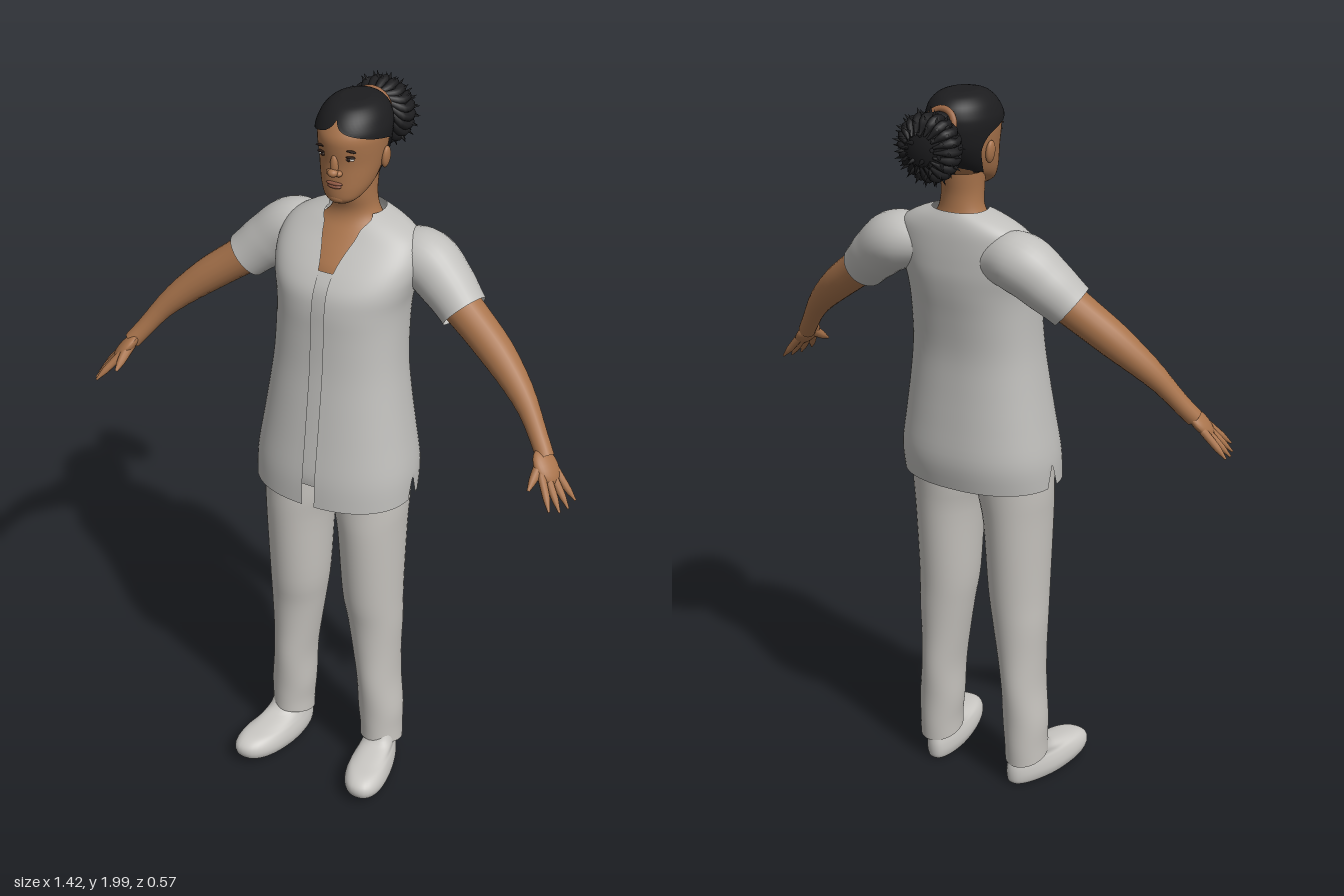
import * as THREE from 'three';
import { mergeVertices, mergeGeometries } from 'three/addons/utils/BufferGeometryUtils.js';

const mat = (name, color, side = THREE.FrontSide) => {
  const m = new THREE.MeshStandardMaterial({ color, side });
  m.name = name;
  return m;
};

// Catmull-Rom smoothing of a list of equally long number rows
function smooth(rows, k) {
  const out = [], at = i => rows[Math.max(0, Math.min(rows.length - 1, i))];
  for (let i = 0; i < rows.length - 1; i++) {
    for (let s = 0; s < k; s++) {
      const t = s / k, [a, b, c, d] = [at(i - 1), at(i), at(i + 1), at(i + 2)];
      out.push(b.map((v, q) => v + 0.5 * t * (c[q] - a[q] + t * (2 * a[q] - 5 * v + 4 * c[q] - d[q]
        + t * (3 * (v - c[q]) + d[q] - a[q])))));
    }
  }
  out.push(rows[rows.length - 1]);
  return out;
}

// Stacked oval rings; row = [y, halfWidth, zFront, zBack, openAngle, xCentre]
function loft(rows, { n = 40, e = 1, caps = false, adjust } = {}) {
  const rings = smooth(rows.map(r => [r[0], r[1], r[2], r[3], r[4] || 0, r[5] || 0]), 4);
  const pos = [], idx = [], p = new THREE.Vector3();
  const pow = v => Math.sign(v) * Math.abs(v) ** e;
  for (const [y, hw, zf, zb, open, cx] of rings) {
    const a0 = Math.max(0, open);
    for (let j = 0; j <= n; j++) {
      const a = a0 + (2 * Math.PI - 2 * a0) * j / n;
      p.set(hw * pow(Math.sin(a)), y, (zf + zb) / 2 + (zf - zb) / 2 * pow(Math.cos(a)));
      if (adjust) adjust(p, a);
      pos.push(p.x + cx, p.y, p.z);
    }
  }
  const w = n + 1;
  for (let i = 0; i < rings.length - 1; i++) for (let j = 0; j < n; j++) {
    const a = i * w + j;
    idx.push(a, a + 1, a + w, a + 1, a + w + 1, a + w);
  }
  if (caps) for (const i of [0, rings.length - 1]) {
    const c = pos.length / 3, [y, , zf, zb, , cx] = rings[i];
    p.set(0, y, (zf + zb) / 2);
    if (adjust) adjust(p, 0);
    pos.push(p.x + cx, p.y, p.z);
    for (let j = 0; j < n; j++) {
      const a = i * w + j;
      i ? idx.push(c, a, a + 1) : idx.push(c, a + 1, a);
    }
  }
  const g = new THREE.BufferGeometry();
  g.setAttribute('position', new THREE.Float32BufferAttribute(pos, 3));
  g.setIndex(idx);
  return weld(g);
}

function weld(g) {
  g.deleteAttribute('uv');
  g.deleteAttribute('normal');
  const m = mergeVertices(g, 1e-5);
  m.computeVertexNormals();
  return m;
}

// Tube whose radius follows a list spread evenly along the path
function limb(points, radii, n = 16, seg = 24) {
  const curve = new THREE.CatmullRomCurve3(points.map(q => new THREE.Vector3(...q)));
  const g = new THREE.TubeGeometry(curve, seg, 1, n), P = g.attributes.position, v = new THREE.Vector3();
  const r = smooth(radii.map(x => [x]), 8), f = r.length - 1;
  for (let i = 0; i <= seg; i++) {
    const c = curve.getPointAt(i / seg), rad = r[Math.round(i / seg * f)][0];
    for (let j = 0; j <= n; j++) {
      const k = i * (n + 1) + j;
      v.fromBufferAttribute(P, k).sub(c).multiplyScalar(rad).add(c);
      P.setXYZ(k, v.x, v.y, v.z);
    }
  }
  return weld(g);
}

const ball = (pos, scale, rotZ = 0) => new THREE.SphereGeometry(1, 20, 14)
  .scale(...scale).rotateZ(rotZ).translate(...pos);

function mirrored(g) {
  const m = g.clone().scale(-1, 1, 1), ix = m.index.array;
  for (let i = 0; i < ix.length; i += 3) [ix[i], ix[i + 1]] = [ix[i + 1], ix[i]];
  if (m.attributes.normal) m.computeVertexNormals();
  return m;
}

export function createModel() {
  const model = new THREE.Group();
  model.name = 'standingWoman';
  const shirt = mat('shirtGrey', 0xc0bfbc, THREE.DoubleSide);
  const trousers = mat('trouserGrey', 0xc6c3be, THREE.DoubleSide);
  const shoe = mat('shoeGrey', 0xcac8c4);
  const skin = mat('skin', 0xa9744c);
  const hair = mat('hairBlack', 0x1d1d1f, THREE.DoubleSide);
  const tieMat = mat('hairTieBrown', 0x9a6644);
  const white = mat('eyeWhite', 0xe2ddd6);
  const dark = mat('eyeDark', 0x2a1b14);
  const lip = mat('lips', 0x8c5540);
  const add = (name, g, m) => {
    const mesh = new THREE.Mesh(g, m);
    mesh.name = name;
    model.add(mesh);
  };
  const pair = (name, g, m) => {
    add(name + 'Left', g, m);
    add(name + 'Right', mirrored(g), m);
  };

  // Open tunic: the last number is the half-width of the front opening
  const e = 0.88;
  const tunic = [[0.922, 0.222, 0.214, -0.118, 0.018], [1.0, 0.222, 0.21, -0.131, 0.018],
    [1.1, 0.207, 0.195, -0.126, 0.018], [1.2, 0.192, 0.18, -0.12, 0.018],
    [1.3, 0.18, 0.166, -0.118, 0.018], [1.4, 0.176, 0.158, -0.13, 0.018],
    [1.47, 0.178, 0.154, -0.142, 0.018], [1.52, 0.188, 0.144, -0.148, 0.018],
    [1.56, 0.196, 0.12, -0.148, 0.019], [1.6, 0.196, 0.085, -0.146, 0.028],
    [1.64, 0.178, 0.045, -0.142, 0.045], [1.67, 0.132, 0.018, -0.135, 0.056],
    [1.692, 0.075, -0.005, -0.125, 0.062]];
  add('tunic', loft(tunic.map(([y, w, f, b, g]) => [y, w, f, b, Math.asin((g / w) ** (1 / e))]), {
    n: 64, e,
    adjust: (p, a) => { if (Math.abs(Math.cos(a)) < 0.06) p.y = Math.max(p.y, 0.99); }, // side slits
  }), shirt);
  add('undershirt', loft([[0.975, 0.21, 0.198, -0.115],
    ...tunic.slice(1, 9).map(([y, w, f, b]) => [y + 0.012, w - 0.012, f - 0.012, b + 0.014])], { e }), shirt);
  pair('sleeve', limb([[0.09, 1.575, -0.07], [0.19, 1.573, -0.074], [0.26, 1.525, -0.06], [0.32, 1.472, -0.04]],
    [0.06, 0.08, 0.074, 0.064], 28), shirt);

  // Neck and chest
  add('neck', loft([[1.48, 0.12, 0.12, -0.1], [1.56, 0.13, 0.098, -0.12], [1.6, 0.125, 0.07, -0.12],
    [1.64, 0.105, 0.032, -0.12], [1.67, 0.075, 0.005, -0.115], [1.7, 0.06, -0.004, -0.11],
    [1.74, 0.056, 0.004, -0.11], [1.79, 0.058, 0.01, -0.12]]), skin);

  // Arms and hands
  pair('arm', limb([[0.2, 1.56, -0.07], [0.32, 1.475, -0.042], [0.44, 1.385, -0.008], [0.53, 1.302, 0.03],
    [0.592, 1.222, 0.068], [0.615, 1.192, 0.085]], [0.05, 0.054, 0.05, 0.046, 0.037, 0.027, 0.024], 18, 32), skin);
  const d = new THREE.Vector3(0.6, -0.72, 0.35).normalize();
  const n = new THREE.Vector3().crossVectors(d, new THREE.Vector3(-0.35, 0.1, 0.9)).normalize();
  const w = new THREE.Vector3().crossVectors(n, d);
  const at = (o, along, across, drop = 0) => new THREE.Vector3(...o)
    .addScaledVector(d, along).addScaledVector(w, across).addScaledVector(n, -drop).toArray();
  const knuckle = [0.648, 1.148, 0.113];
  pair('palm', new THREE.SphereGeometry(1, 20, 14).scale(0.05, 0.037, 0.018)
    .applyMatrix4(new THREE.Matrix4().makeBasis(d, w, n)).translate(0.625, 1.177, 0.1), skin);
  const fingers = [0.066, 0.08, 0.083, 0.074].map((len, i) => {
    const t = (i - 1.5) * 0.019;
    return limb([at(knuckle, -0.025, t * 0.9), at(knuckle, len * 0.4, t * 1.3), at(knuckle, len, t * 1.7)],
      [0.011, 0.0105, 0.009, 0.003], 10, 12);
  });
  pair('fingers', mergeGeometries(fingers), skin);
  pair('thumb', limb([[0.612, 1.19, 0.1], [0.612, 1.165, 0.14], [0.612, 1.142, 0.178]],
    [0.017, 0.014, 0.011, 0.004], 10, 12), skin);

  // Trousers
  pair('trouserLeg', loft([[0.085, 0.058, 0.12, -0.015, 0, 0.143], [0.13, 0.058, 0.12, -0.018, 0, 0.142],
    [0.2, 0.062, 0.122, -0.02, 0, 0.139], [0.3, 0.058, 0.13, -0.028, 0, 0.133],
    [0.4, 0.065, 0.131, -0.03, 0, 0.126], [0.5, 0.075, 0.136, -0.035, 0, 0.12],
    [0.6, 0.082, 0.15, -0.042, 0, 0.113], [0.8, 0.09, 0.165, -0.06, 0, 0.11],
    [0.9, 0.1, 0.166, -0.072, 0, 0.104], [1.05, 0.1, 0.16, -0.09, 0, 0.1]], {
    adjust: p => { p.y += (p.z - 0.05) * 0.28 * Math.max(0, 1 - (p.y - 0.085) / 0.12); }, // tilted hem
  }), trousers);
  add('hips', loft([[0.925, 0.15, 0.11, -0.03], [0.95, 0.198, 0.15, -0.075], [1.08, 0.195, 0.16, -0.1]],
    { caps: true }), trousers);

  // Shoes: wider, raised and turned out towards the toe
  pair('shoe', loft([[0.004, 0.05, 0.262, -0.002, 0, 0.134], [0.012, 0.058, 0.277, -0.01, 0, 0.134],
    [0.03, 0.064, 0.284, -0.013, 0, 0.134], [0.05, 0.063, 0.278, -0.013, 0, 0.134],
    [0.068, 0.058, 0.252, -0.01, 0, 0.134], [0.08, 0.053, 0.2, -0.006, 0, 0.134],
    [0.1, 0.05, 0.13, 0.0, 0, 0.138], [0.13, 0.045, 0.105, 0.005, 0, 0.14]], {
    e: 0.85, caps: true,
    adjust: p => {
      p.x = p.x * (0.78 + p.z) + p.z * 0.17;
      p.y += Math.max(0, p.z - 0.12) * 0.12;
    },
  }), shoe);

  // Head
  const skull = [[1.741, 0.026, 0.048, 0.0], [1.755, 0.046, 0.06, -0.03], [1.78, 0.063, 0.063, -0.08],
    [1.81, 0.073, 0.062, -0.11], [1.85, 0.081, 0.061, -0.137], [1.89, 0.086, 0.066, -0.15],
    [1.915, 0.087, 0.067, -0.153], [1.935, 0.083, 0.06, -0.152], [1.96, 0.072, 0.042, -0.142],
    [1.98, 0.052, 0.016, -0.118], [1.989, 0.028, -0.018, -0.085]];
  add('head', loft(skull, { caps: true }), skin);
  pair('ear', ball([0.084, 1.845, -0.055], [0.01, 0.03, 0.017], -0.1), skin);
  add('noseBridge', ball([0, 1.85, 0.062], [0.011, 0.03, 0.01]), skin);
  add('noseTip', ball([0, 1.834, 0.069], [0.014, 0.011, 0.014]), skin);
  pair('nostril', ball([0.013, 1.831, 0.062], [0.009, 0.008, 0.01]), skin);
  add('chin', ball([0, 1.759, 0.049], [0.024, 0.016, 0.013]), skin);
  add('upperLip', ball([0, 1.802, 0.062], [0.023, 0.005, 0.007]), lip);
  add('lowerLip', ball([0, 1.794, 0.061], [0.019, 0.006, 0.008]), lip);
  pair('eyeWhite', ball([0.036, 1.872, 0.05], [0.014, 0.006, 0.007]), white);
  pair('iris', ball([0.036, 1.872, 0.054], [0.006, 0.0055, 0.005]), dark);
  pair('eyelid', ball([0.037, 1.878, 0.051], [0.016, 0.003, 0.008], -0.08), dark);
  pair('eyebrow', ball([0.038, 1.895, 0.053], [0.019, 0.003, 0.006], -0.1), dark);

  // Hair drawn back from the face
  const hairline = [2.1, 2.08, 2.03, 1.72, 0.95, 0.25, 0, 0, 0];
  add('hairCap', loft(skull.slice(2).map(([y, hw, f, b], i) =>
    [y + 0.008, hw + 0.007, f + 0.005, b - 0.008, hairline[i]]), { n: 48, caps: true }), hair);
  add('hairTie', new THREE.TorusGeometry(0.038, 0.009, 10, 28).rotateX(0.3).translate(-0.01, 1.932, -0.17), tieMat);

  // Gathered bunch of strands with pointed tips
  const c = [-0.013, 1.885, -0.223], R = [0.08, 0.08, 0.046];
  add('bunCore', ball(c, R), hair);
  add('bunRoot', ball([-0.01, 1.928, -0.175], [0.036, 0.036, 0.03]), hair);
  const strands = [], up = new THREE.Vector3(0, 1, 0);
  for (let i = 0; i < 20; i++) {
    const a = i / 20 * Math.PI * 2, s = Math.sin(a), k = Math.cos(a);
    strands.push(limb([[-0.012 + s * 0.03, 1.925 + k * 0.025, -0.18],
      [c[0] + s * 0.074, c[1] + k * 0.074, -0.208],
      [c[0] + s * 0.074, c[1] + k * 0.076, -0.238],
      [c[0] + s * 0.04, c[1] + k * 0.04, -0.268]], [0.008, 0.012, 0.013, 0.003], 7, 12));
  }
  for (let i = 0; i < 60; i++) {
    const z = 0.1 - 1.05 * (i + 0.5) / 60, a = i * 2.4, q = Math.sqrt(1 - z * z);
    const dir = new THREE.Vector3(q * Math.sin(a), q * Math.cos(a), z);
    const cone = new THREE.ConeGeometry(0.009, 0.036, 6).applyQuaternion(
      new THREE.Quaternion().setFromUnitVectors(up, dir));
    strands.push(weld(cone.translate(...dir.toArray().map((v, j) => c[j] + v * (R[j] + 0.006)))));
  }
  add('bunStrands', mergeGeometries(strands), hair);
  return model;
}
